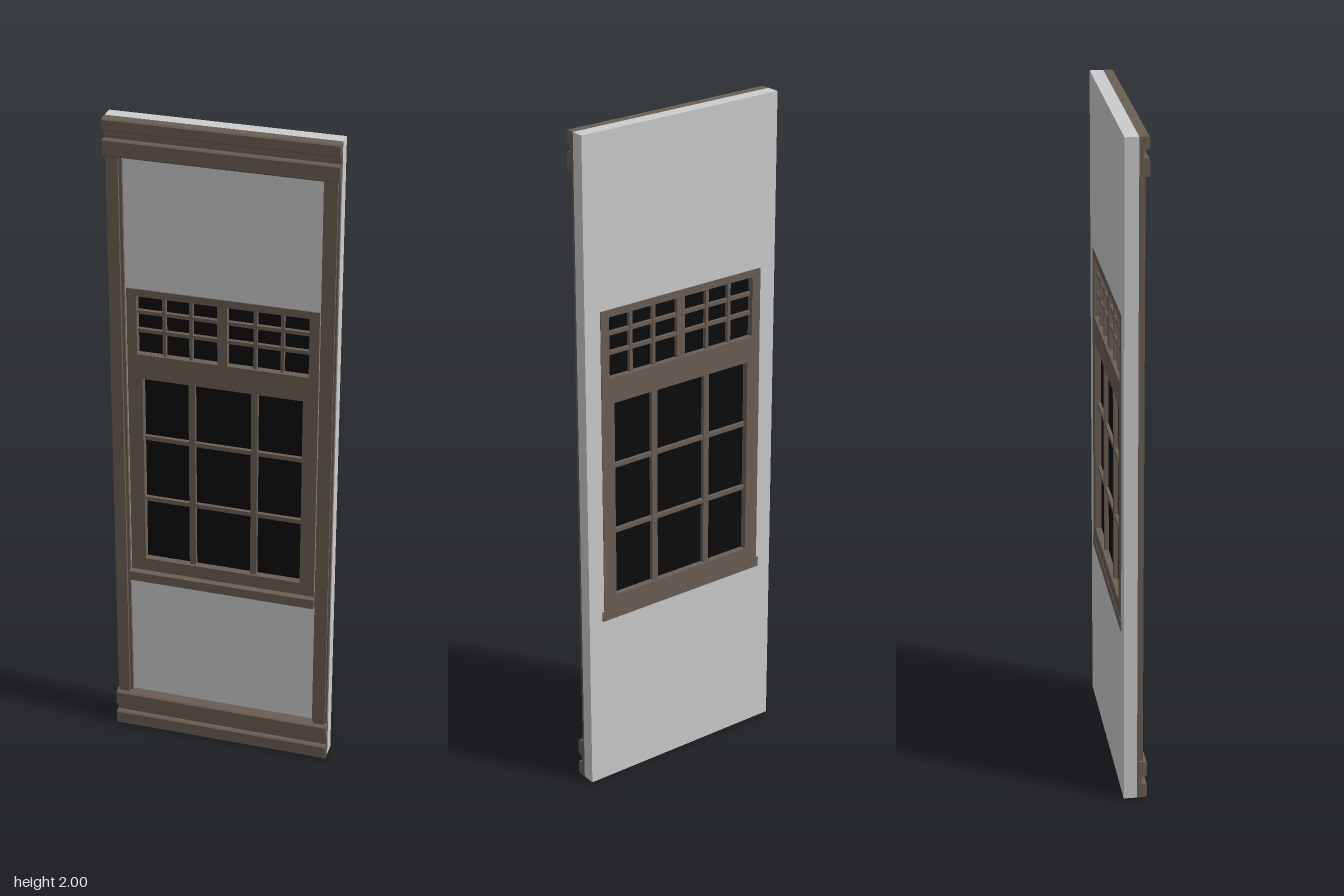
import * as THREE from 'three';

const wallGrey = new THREE.MeshStandardMaterial({ color: 0xcccccc });
wallGrey.name = 'wallGrey';
const trimBrown = new THREE.MeshStandardMaterial({ color: 0x6b5f54 });
trimBrown.name = 'trimBrown';
const glassBlack = new THREE.MeshStandardMaterial({ color: 0x0b0c0d });
glassBlack.name = 'glassBlack';

const HALF = 0.333, WALL_BACK = -0.033, WALL_FRONT = 0.006;

// Box given by its limits on each axis
function block(name, material, x0, x1, y0, y1, z0, z1) {
  const mesh = new THREE.Mesh(new THREE.BoxGeometry(x1 - x0, y1 - y0, z1 - z0), material);
  mesh.position.set((x0 + x1) / 2, (y0 + y1) / 2, (z0 + z1) / 2);
  mesh.name = name;
  return mesh;
}

// Flat plate with rectangular openings; rectangles are [x0, x1, y0, y1]
function plate(name, material, outer, holes, z0, z1) {
  const trace = (path, [x0, x1, y0, y1]) =>
    path.moveTo(x0, y0).lineTo(x1, y0).lineTo(x1, y1).lineTo(x0, y1).closePath();
  const shape = trace(new THREE.Shape(), outer);
  for (const hole of holes) shape.holes.push(trace(new THREE.Path(), hole));
  const geometry = new THREE.ExtrudeGeometry(shape, { depth: z1 - z0, bevelEnabled: false });
  geometry.translate(0, 0, z0);
  const mesh = new THREE.Mesh(geometry, material);
  mesh.name = name;
  return mesh;
}

// Horizontal moulding: profile of [z, y] points swept across the whole width
function moulding(name, points) {
  const shape = new THREE.Shape(points.map(([z, y]) => new THREE.Vector2(-z, y)));
  const geometry = new THREE.ExtrudeGeometry(shape, { depth: HALF * 2, bevelEnabled: false });
  geometry.rotateY(Math.PI / 2).translate(-HALF, 0, 0);
  const mesh = new THREE.Mesh(geometry, trimBrown);
  mesh.name = name;
  return mesh;
}

// Glass with a grid of glazing bars in front of and behind it
function glazing(name, [x0, x1, y0, y1], columns, rows, barX, barY) {
  const group = new THREE.Group();
  group.name = name;
  group.add(block('glass', glassBlack, x0, x1, y0, y1, -0.016, -0.012));
  columns.forEach((x) =>
    group.add(block('verticalBar', trimBrown, x - barX / 2, x + barX / 2, y0, y1, -0.028, 0.002)));
  rows.forEach((y) =>
    group.add(block('horizontalBar', trimBrown, x0, x1, y - barY / 2, y + barY / 2, -0.026, 0)));
  return group;
}

export function createModel() {
  const model = new THREE.Group();
  model.name = 'windowWallPanel';

  // Wall with the window opening
  model.add(plate('wall', wallGrey, [-HALF, HALF, 0, 2], [[-0.275, 0.275, 0.54, 1.485]], WALL_BACK, WALL_FRONT));

  // Grooved mouldings across the top and bottom
  const f = 0.035, g = 0.02, b = WALL_FRONT, c = 0.004;
  model.add(moulding('topMoulding', [
    [b, 1.89], [f - c, 1.89], [f, 1.89 + c], [f, 1.94 - c], [f - c, 1.94], [g, 1.94],
    [g, 1.964], [f - c, 1.964], [f, 1.964 + c], [f, 2 - c], [f - c, 2], [b, 2],
  ]));
  model.add(moulding('bottomMoulding', [
    [b, 0], [f - c, 0], [f, c], [f, 0.045 - c], [f - c, 0.045], [g, 0.045],
    [g, 0.069], [f - c, 0.069], [f, 0.069 + c], [f, 0.117 - c], [f - c, 0.117], [b, 0.122],
  ]));

  // Stepped side posts
  for (const side of [-1, 1]) {
    const post = new THREE.Group();
    post.name = side > 0 ? 'leftPost' : 'rightPost';
    const strip = (name, inner, outer, z) => post.add(block(name, trimBrown,
      Math.min(side * inner, side * outer), Math.max(side * inner, side * outer), 0.117, 1.892, WALL_FRONT, z));
    strip('postBase', 0.285, 0.331, 0.015);
    strip('postFace', 0.293, 0.326, 0.024);
    model.add(post);
  }

  // Window casing: front with two upper lights, back with one wide upper opening
  const lower = [-0.237, 0.237, 0.603, 1.208];
  const upperRight = [-0.252, -0.014, 1.285, 1.468];
  const upperLeft = [0.014, 0.252, 1.285, 1.468];
  const outline = [-0.281, 0.281, 0.555, 1.49];
  model.add(plate('windowFrame', trimBrown, outline, [lower, upperRight, upperLeft], -0.028, 0.01));
  model.add(plate('rearCasing', trimBrown, outline, [lower, [-0.252, 0.252, 1.285, 1.468]], -0.0345, -0.028));

  // Sills
  model.add(block('frontSill', trimBrown, -0.285, 0.285, 0.532, 0.562, -0.01, 0.03));
  model.add(block('rearSill', trimBrown, -0.287, 0.287, 0.53, 0.56, -0.036, -0.01));

  // Panes and glazing bars
  model.add(glazing('lowerSash', lower, [-0.093, 0.093], [0.805, 1.01], 0.019, 0.013));
  model.add(glazing('upperRightSash', upperRight, [-0.173, -0.094], [1.357, 1.415], 0.01, 0.011));
  model.add(glazing('upperLeftSash', upperLeft, [0.094, 0.173], [1.357, 1.415], 0.01, 0.011));

  return model;
}
